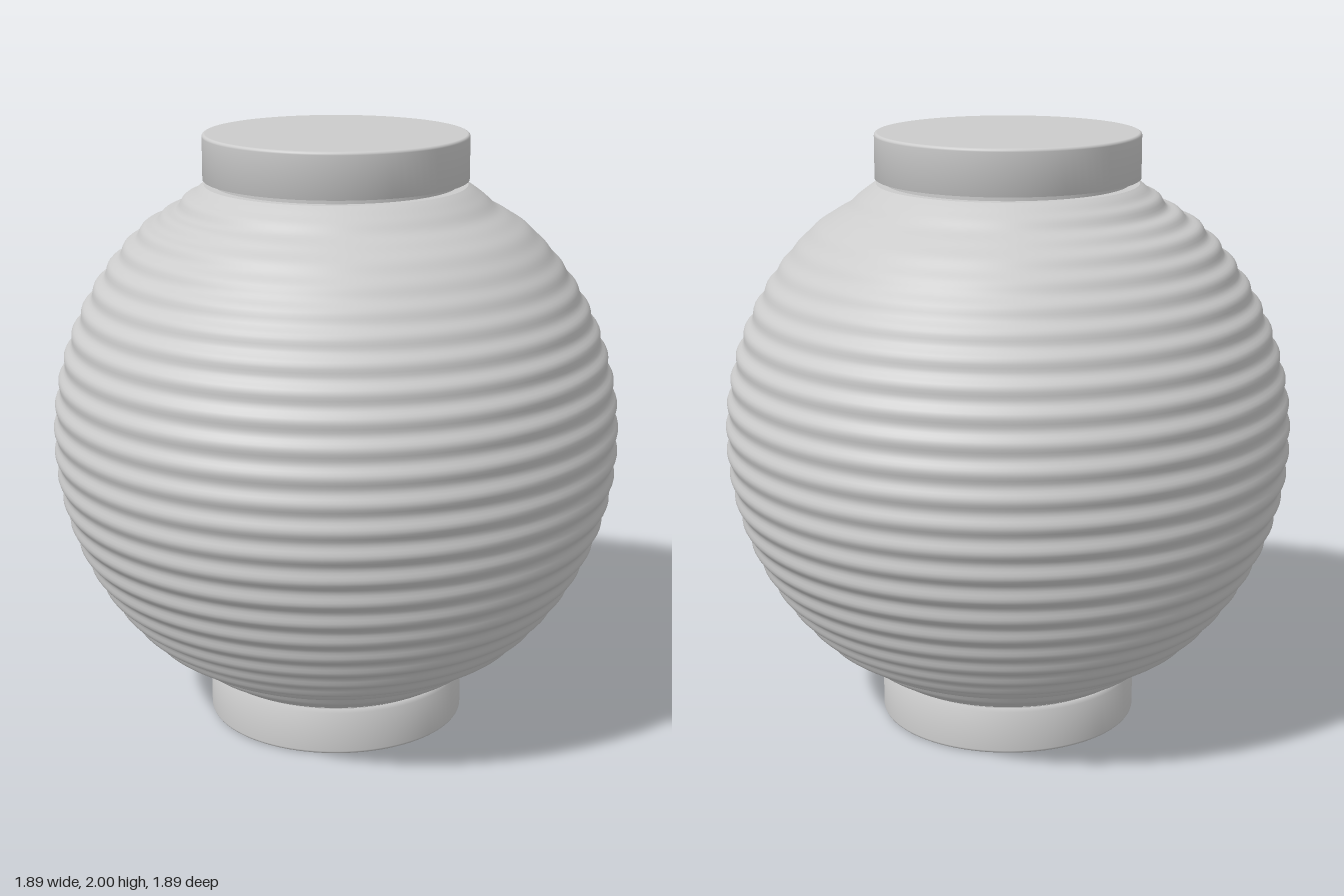
import * as THREE from 'three';
import { mergeVertices } from 'three/addons/utils/BufferGeometryUtils.js';

const material = new THREE.MeshStandardMaterial({ color: 0xcccccc, side: THREE.DoubleSide });
const RADIUS = 0.94, CENTRE = 1, RIB_STEP = 0.088, END_ANGLE = 1.095;

function addMesh(group, name, geometry) {
  const mesh = new THREE.Mesh(geometry, material);
  mesh.name = name;
  group.add(mesh);
  return mesh;
}

// Ribbed paper globe: a truncated sphere with a ripple added along its meridian
function globeGeometry() {
  const rows = 200, points = [];
  for (let i = 0; i <= rows; i++) {
    const a = END_ANGLE * (2 * i / rows - 1);
    points.push(new THREE.Vector2(RADIUS * Math.cos(a), CENTRE + RADIUS * Math.sin(a)));
  }
  let geometry = new THREE.LatheGeometry(points, 96);
  geometry.deleteAttribute('uv');
  geometry.deleteAttribute('normal');
  geometry = mergeVertices(geometry, 1e-5);
  const pos = geometry.attributes.position, v = new THREE.Vector3();
  for (let i = 0; i < pos.count; i++) {
    v.fromBufferAttribute(pos, i);
    const a = Math.asin(THREE.MathUtils.clamp((v.y - CENTRE) / RADIUS, -1, 1));
    // ribs soften towards the top, except on one side where they stay crisp
    const side = 0.5 + 0.5 * Math.cos(Math.atan2(v.z, v.x) + 2.75);
    const soften = THREE.MathUtils.smoothstep(a, 0.3, 0.85) * (1 - side * side);
    const ends = 1 - THREE.MathUtils.smoothstep(Math.abs(a), 1.0, END_ANGLE);
    const ripple = -0.006 * Math.cos(a / RIB_STEP * Math.PI * 2) * (1 - 0.85 * soften) * ends;
    // slight hollow just before each neck
    const hollow = -0.014 * Math.exp(-(((Math.abs(a) - 0.96) / 0.08) ** 2));
    const k = (RADIUS + ripple + hollow) / RADIUS;
    pos.setXYZ(i, v.x * k, CENTRE + (v.y - CENTRE) * k, v.z * k);
  }
  geometry.computeVertexNormals();
  return geometry;
}

// Flat end disc with a small rounded outer edge, height measured from its inner face
function capGeometry() {
  const r = 0.435, h = 0.148, b = 0.01, wall = 0.395;
  const shape = new THREE.Shape();
  shape.moveTo(wall, 0);
  shape.lineTo(r, 0);
  shape.lineTo(r, h - b);
  shape.absarc(r - b, h - b, b, 0, Math.PI / 2, false);
  const rim = shape.getPoints(5);
  return new THREE.LatheGeometry([new THREE.Vector2(0, 0), ...rim, new THREE.Vector2(0, h)], 96);
}

export function createModel() {
  const model = new THREE.Group();
  model.name = 'paperLantern';
  addMesh(model, 'ribbedGlobe', globeGeometry());

  // Matching neck, shoulder and cap at each end
  for (const [label, sign] of [['top', 1], ['bottom', -1]]) {
    const end = new THREE.Group();
    end.name = label + 'End';
    addMesh(end, label + 'Cap', capGeometry()).position.y = 0.852;
    addMesh(end, label + 'Neck', new THREE.CylinderGeometry(0.4, 0.4, 0.04, 96, 1, true)).position.y = 0.845;
    const shoulder = addMesh(end, label + 'Shoulder', new THREE.RingGeometry(0.398, 0.431, 96));
    shoulder.rotation.x = -Math.PI / 2;
    shoulder.position.y = 0.835;
    end.position.y = CENTRE;
    if (sign < 0) end.rotation.x = Math.PI;
    model.add(end);
  }
  return model;
}
